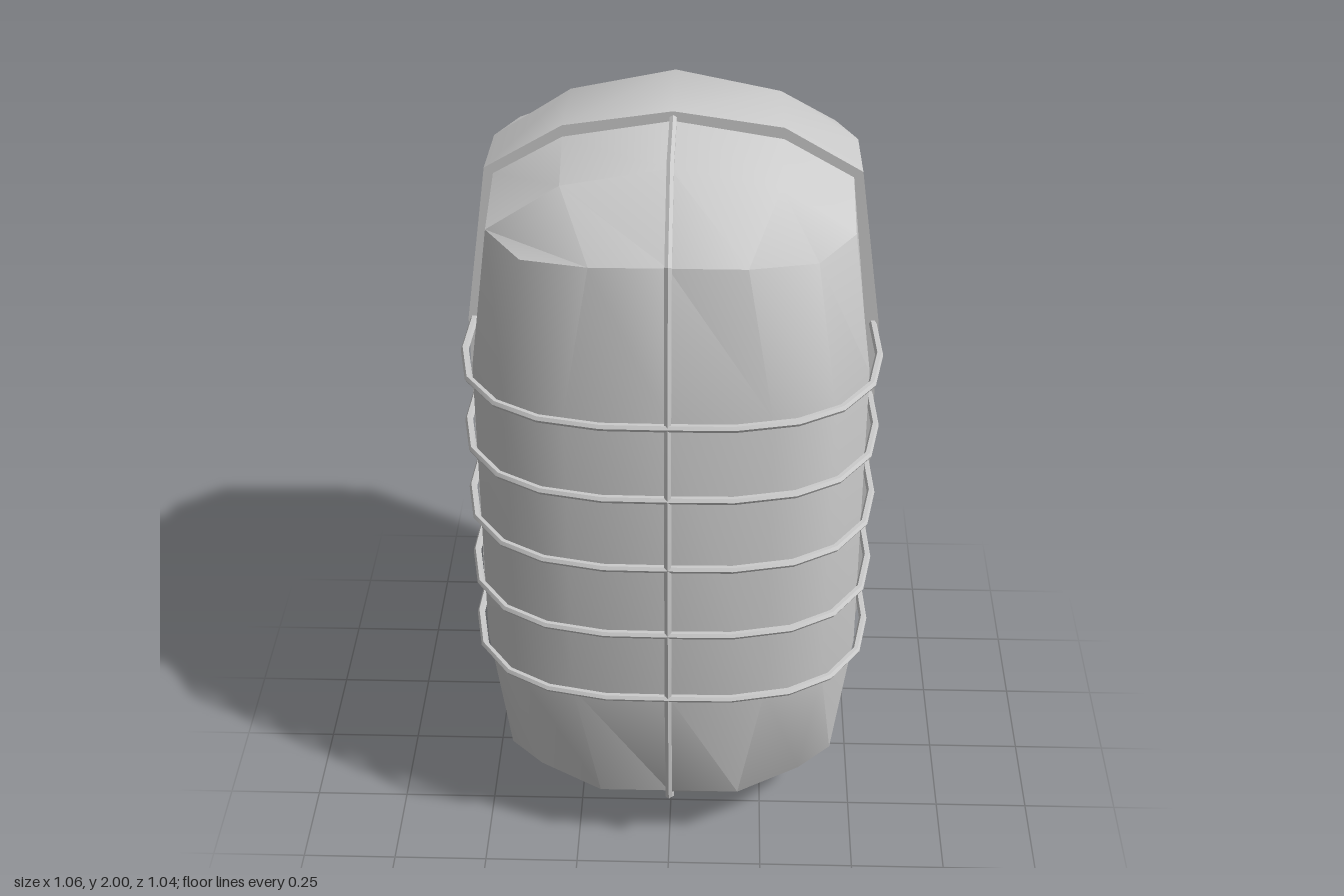
import * as THREE from 'three';
import { mergeGeometries, toCreasedNormals } from 'three/addons/utils/BufferGeometryUtils.js';

const material = new THREE.MeshStandardMaterial({ color: 0xcccccc });
const mirrorX = ([x, y, z]) => [-x, y, z];
const mirrorY = ([x, y, z]) => [x, 2 - y, z];
// Completes a half row that ends on the middle plane
const fullRow = (half, mirror) => [...half, ...half.slice(0, -1).reverse().map(mirror)];

// Skin over rows of points
function surface(rows, flip = false) {
  const position = [];
  for (let i = 0; i < rows.length - 1; i++) {
    for (let j = 0; j < rows[i].length - 1; j++) {
      const a = rows[i][j], b = rows[i][j + 1], c = rows[i + 1][j], d = rows[i + 1][j + 1];
      const tris = flip ? [a, b, c, b, d, c] : [a, c, b, b, c, d];
      tris.forEach((p) => position.push(...p));
    }
  }
  const geometry = new THREE.BufferGeometry();
  geometry.setAttribute('position', new THREE.Float32BufferAttribute(position, 3));
  return geometry;
}

// Half capsule: faceted wall between a top cap and its mirrored bottom cap.
// cap: rows outward from z = 0, each from the +x rim to the centre.
// wall: widest outline, from the +x side round to the centre, as [x, z].
function halfBody(cap, wall, front) {
  const crease = fullRow([cap[0][0], cap[1][0], ...cap[2]], mirrorX);
  const wide = fullRow(wall.map(([x, z]) => [x, 1.42, z]), mirrorX);
  const top = cap.map((row) => fullRow(row, mirrorX));
  const bottom = top.map((row) => row.map(mirrorY));
  const geometry = mergeGeometries([
    surface([crease, wide, wide.map(mirrorY), crease.map(mirrorY)], front),
    surface(top, front),
    surface(bottom, !front),
  ]);
  return toCreasedNormals(geometry, 0.7);
}

// Thin bar swept along a planar path with mitred corners
function barGeometry(path, axis, radius = 0.01, sides = 6) {
  const points = path.map((p) => new THREE.Vector3(...p));
  const rows = points.map((p, i) => {
    const before = points[Math.max(i - 1, 0)], after = points[Math.min(i + 1, points.length - 1)];
    const t1 = p.clone().sub(before).normalize(), t2 = after.clone().sub(p).normalize();
    const t = t1.clone().add(t2).normalize();
    const miter = 1 / Math.max(t.dot(i ? t1 : t2), 0.5);
    const n = t.clone().cross(axis);
    return Array.from({ length: sides + 1 }, (_, j) => {
      const angle = ((j % sides) / sides) * Math.PI * 2;
      return p.clone()
        .addScaledVector(n, Math.cos(angle) * radius * miter)
        .addScaledVector(axis, Math.sin(angle) * radius).toArray();
    });
  });
  return toCreasedNormals(surface(rows), 0.5);
}

export function createModel() {
  const group = new THREE.Group();
  const add = (name, geometry, parent = group) => {
    const mesh = new THREE.Mesh(geometry, material);
    mesh.name = name;
    parent.add(mesh);
    return mesh;
  };

  // Back housing
  const housingCap = [
    [[0.465, 1.845, 0], [0.27, 1.96, 0], [0, 2, 0]],
    [[0.465, 1.815, -0.25], [0.265, 1.945, -0.25], [0, 2, -0.25]],
    [[0.415, 1.79, -0.415], [0.25, 1.815, -0.515], [0, 1.83, -0.515]],
  ];
  const housingWall = [[0.525, 0], [0.525, -0.25], [0.425, -0.415], [0.255, -0.518], [0, -0.52]];
  add('backHousing', halfBody(housingCap, housingWall, false));

  // Flat front face of the housing
  const upper = [[0.525, 1.42, 0], ...housingCap[0]];
  const right = fullRow(upper, mirrorX);
  const outline = [...right, ...right.map(mirrorY).reverse()];
  add('housingFace', new THREE.ShapeGeometry(
    new THREE.Shape(outline.map(([x, y]) => new THREE.Vector2(x, y)))));

  // Front lens
  const lensCap = [
    [[0.443, 1.83, 0], [0.27, 1.93, 0], [0, 1.975, 0]],
    [[0.44, 1.8, 0.24], [0.26, 1.92, 0.245], [0, 1.97, 0.25]],
    [[0.35, 1.78, 0.35], [0.185, 1.803, 0.427], [0, 1.803, 0.427]],
  ];
  const lensWall = [[0.49, 0], [0.49, 0.24], [0.4, 0.393], [0.25, 0.462], [0, 0.488]];
  add('lens', halfBody(lensCap, lensWall, true));

  // Guard cage: five hoops and one upright bar
  const cage = new THREE.Group();
  cage.name = 'guardCage';
  group.add(cage);
  const hoopHalf = [[0.51, 0, 0], [0.518, 0, 0.155], [0.493, 0, 0.295], [0.417, 0, 0.405],
    [0.31, 0, 0.47], [0.16, 0, 0.503], [0, 0, 0.505]];
  const hoop = barGeometry(fullRow(hoopHalf, mirrorX), new THREE.Vector3(0, 1, 0));
  for (let i = 0; i < 5; i++) add('hoopBar', hoop, cage).position.y = 0.588 + i * 0.2075;
  const uprightHalf = [[0, 1.98, 0], [0, 1.98, 0.25], [0, 1.81, 0.437], [0, 1.42, 0.503], [0, 1, 0.505]];
  add('uprightBar', barGeometry(fullRow(uprightHalf, mirrorY), new THREE.Vector3(1, 0, 0)), cage);

  return group;
}
